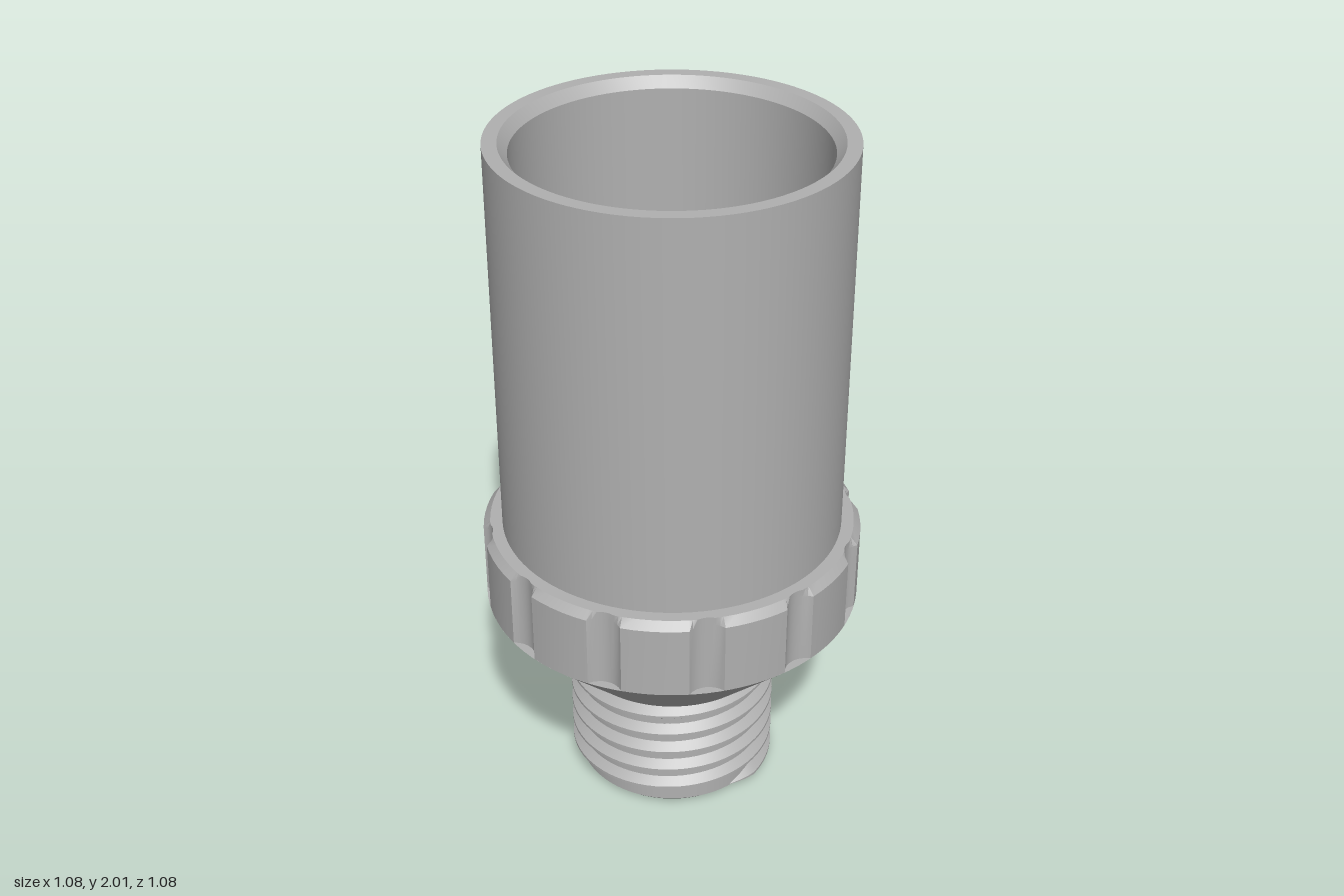
import * as THREE from 'three';
import { toCreasedNormals } from 'three/addons/utils/BufferGeometryUtils.js';

const CREASE = 0.42;

// Skin a grid of points; columns run round the axis, rows run upward
function skin(cols, rows, point) {
  const pos = [], idx = [];
  for (let i = 0; i < cols; i++) {
    for (let j = 0; j < rows; j++) {
      const [a, r, y] = point(i, j);
      pos.push(r * Math.sin(a), y, r * Math.cos(a));
      if (i < cols - 1 && j < rows - 1) {
        const p = i * rows + j, q = p + rows;
        idx.push(p, q, q + 1, p, q + 1, p + 1);
      }
    }
  }
  const g = new THREE.BufferGeometry();
  g.setAttribute('position', new THREE.Float32BufferAttribute(pos, 3));
  g.setIndex(idx);
  return toCreasedNormals(g, CREASE);
}

function turned(profile) {
  const pts = profile.map(([r, y]) => new THREE.Vector2(r, y));
  return toCreasedNormals(new THREE.LatheGeometry(pts, 96), CREASE);
}

// Collar with twelve scalloped grip notches and a chamfered top edge
function collarGeometry() {
  const c = 0.576, R = 0.062, edge = 0.09, pitch = Math.PI / 6;
  const local = [-edge, -0.07, -0.0466, -0.023, 0, 0.023, 0.0466, 0.07, edge];
  for (let k = 1; k < 5; k++) local.push(edge + (pitch - 2 * edge) * k / 5);
  const angles = [];
  for (let n = 0; n < 12; n++) for (const a of local) angles.push([a + n * pitch, a]);
  angles.push([local[0] + 2 * Math.PI, local[0]]);
  const rows = [[0.54, 0.623], [0.54, 0.835], [0.52, 0.858], [0.48, 0.858]];
  return skin(angles.length, rows.length, (i, j) => {
    const [a, l] = angles[i];
    const notch = Math.abs(l) <= edge
      ? c * Math.cos(l) - Math.sqrt(R * R - (c * Math.sin(l)) ** 2) : 1;
    return [a, Math.min(rows[j][0], notch), rows[j][1]];
  });
}

// Right-handed helical ridge, fading out at both ends
function threadGeometry() {
  const pitch = 0.067, start = 0.45, turns = 5.3, n = 400;
  const section = [[0, -0.027], [1, -0.004], [1, 0.004], [0, 0.027]];
  return skin(n + 1, section.length, (i, j) => {
    const t = turns * i / n;
    const size = Math.min(1, t / 0.05, (turns - t) / 0.05);
    const [h, dy] = section[j];
    return [start + t * 2 * Math.PI, 0.277 + 0.027 * h * size, 0.018 + pitch * t + dy * size];
  });
}

export function createModel() {
  const group = new THREE.Group();
  const grey = new THREE.MeshStandardMaterial({ color: 0xb0b0b0 });
  grey.name = 'grey plastic';
  const add = (name, geometry) => {
    const mesh = new THREE.Mesh(geometry, grey);
    mesh.name = name;
    group.add(mesh);
  };

  // Hollow spigot and flared cone
  add('spigotAndCone', turned([
    [0.415, 0.61], [0.213, 0.4], [0.213, 0], [0.265, 0], [0.28, 0.015],
    [0.28, 0.382], [0.297, 0.382], [0.54, 0.623], [0.48, 0.623],
  ]));
  // Open socket tube with a chamfered mouth
  add('socketTube', turned([
    [0.485, 0.623], [0.485, 2], [0.445, 2], [0.42, 1.97], [0.415, 0.61],
  ]));
  add('gripCollar', collarGeometry());
  add('screwThread', threadGeometry());
  return group;
}
